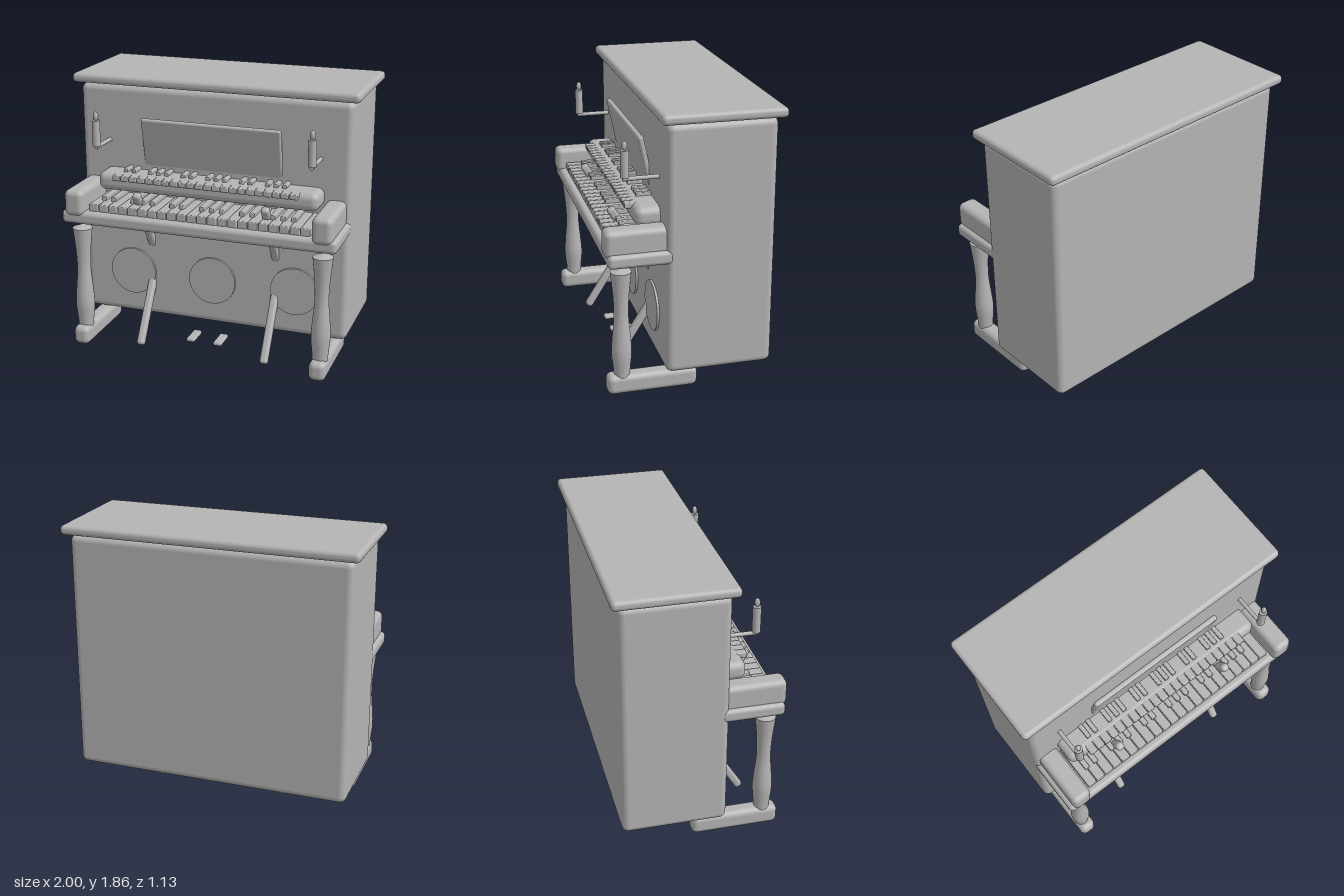
import * as THREE from 'three';
import { RoundedBoxGeometry } from 'three/addons/geometries/RoundedBoxGeometry.js';

const grey = new THREE.MeshStandardMaterial({ color: 0xb4b4b4 });
grey.name = 'plain grey';

export function createModel() {
  const model = new THREE.Group();
  model.name = 'uprightPiano';

  const add = (name, geometry, x = 0, y = 0, z = 0, parent = model) => {
    const mesh = new THREE.Mesh(geometry, grey);
    mesh.name = name;
    mesh.position.set(x, y, z);
    parent.add(mesh);
    return mesh;
  };

  // Rounded box given by its limits on each axis
  const block = (name, [x0, x1], [y0, y1], [z0, z1], r, parent = model, segments = 4) =>
    add(name, new RoundedBoxGeometry(x1 - x0, y1 - y0, z1 - z0, segments, r),
      (x0 + x1) / 2, (y0 + y1) / 2, (z0 + z1) / 2, parent);

  // Case, lid and shelves
  block('cabinet', [-0.955, 0.955], [0.16, 1.81], [-0.52, 0.18], 0.045);
  block('lid', [-1, 1], [1.815, 1.88], [-0.565, 0.222], 0.028);
  block('keyBed', [-0.955, 0.955], [0.915, 1.005], [0.13, 0.55], 0.03);
  block('upperShelf', [-0.778, 0.778], [1.105, 1.233], [0.08, 0.338], 0.05);

  // Music stand leaning out at the top
  const stand = add('musicStand', new RoundedBoxGeometry(0.98, 0.45, 0.036, 3, 0.014), 0, 1.385, 0.186);
  stand.rotation.x = 0.207;

  // Keyboard: 22 white keys, dark keys in groups of two and three
  const keyboard = (name, halfWidth, white, dark, darkWidth) => {
    const group = new THREE.Group();
    group.name = name;
    model.add(group);
    const step = (halfWidth * 2) / 22;
    for (let i = 0; i < 22; i++) {
      const x = -halfWidth + i * step;
      block('whiteKey', [x + step * 0.04, x + step * 0.96], white.y, white.z, 0.007, group, 2);
      if (i < 21 && [0, 1, 3, 4, 5].includes(i % 7)) {
        const edge = x + step;
        block('sharpKey', [edge - darkWidth / 2, edge + darkWidth / 2], dark.y, dark.z, 0.006, group, 2);
      }
    }
  };
  keyboard('lowerKeyboard', 0.773,
    { y: [1.0, 1.055], z: [0.15, 0.5] }, { y: [1.04, 1.083], z: [0.15, 0.4] }, 0.036);
  keyboard('upperKeyboard', 0.651,
    { y: [1.193, 1.23], z: [0.15, 0.378] }, { y: [1.215, 1.255], z: [0.15, 0.28] }, 0.031);

  // Turned leg profile
  const curve = new THREE.SplineCurve([
    [0.05, 0.12], [0.055, 0.19], [0.065, 0.3], [0.06, 0.4],
    [0.047, 0.55], [0.05, 0.68], [0.06, 0.79], [0.068, 0.862],
  ].map(([r, y]) => new THREE.Vector2(r, y)));
  // Separate cap keeps the upper rim sharp
  const legGeometry = new THREE.LatheGeometry(curve.getPoints(28), 24);
  const capGeometry = new THREE.ConeGeometry(0.068, 0.024, 24, 1, true);

  const rodGeometry = new RoundedBoxGeometry(0.055, 1.31, 0.055, 3, 0.02);
  const candleGeometry = new THREE.CylinderGeometry(0.027, 0.027, 0.175, 24);
  const flameGeometry = new THREE.SphereGeometry(0.018, 16, 12).scale(1, 1.75, 1);
  const armGeometry = new THREE.CylinderGeometry(0.014, 0.014, 0.26, 16).rotateX(Math.PI / 2);
  const pedalGeometry = new RoundedBoxGeometry(0.06, 0.028, 0.16, 3, 0.012);

  // Paired parts
  for (const s of [-1, 1]) {
    const span = (a, b) => (s > 0 ? [a, b] : [-b, -a]);
    block('cheekBlock', span(0.79, 0.927), [0.972, 1.155], [0.12, 0.565], 0.04);
    block('foot', span(0.79, 0.905), [0.02, 0.154], [-0.04, 0.553], 0.04);
    add('leg', legGeometry, s * 0.848, 0, 0.452);
    add('legCap', capGeometry, s * 0.848, 0.874, 0.452);

    // Crossed stand rods passing through the cabinet
    add('rodLeaningForward', rodGeometry, s * 0.45, 0.58, 0.085).rotation.x = 0.56;
    add('rodLeaningBack', rodGeometry, s * 0.45, 0.58, 0.073).rotation.x = -0.56;

    add('candle', candleGeometry, s * 0.745, 1.523, 0.397);
    add('flame', flameGeometry, s * 0.745, 1.638, 0.397);
    add('candleArm', armGeometry, s * 0.745, 1.427, 0.28);
    add('pedal', pedalGeometry, s * 0.098, 0.09, 0.29);
  }

  // Round panels on the lower front
  const disc = new THREE.CylinderGeometry(0.168, 0.168, 0.03, 48).rotateX(Math.PI / 2);
  for (const x of [-0.59, 0, 0.59]) add('roundPanel', disc, x, 0.48, 0.18);

  return model;
}
